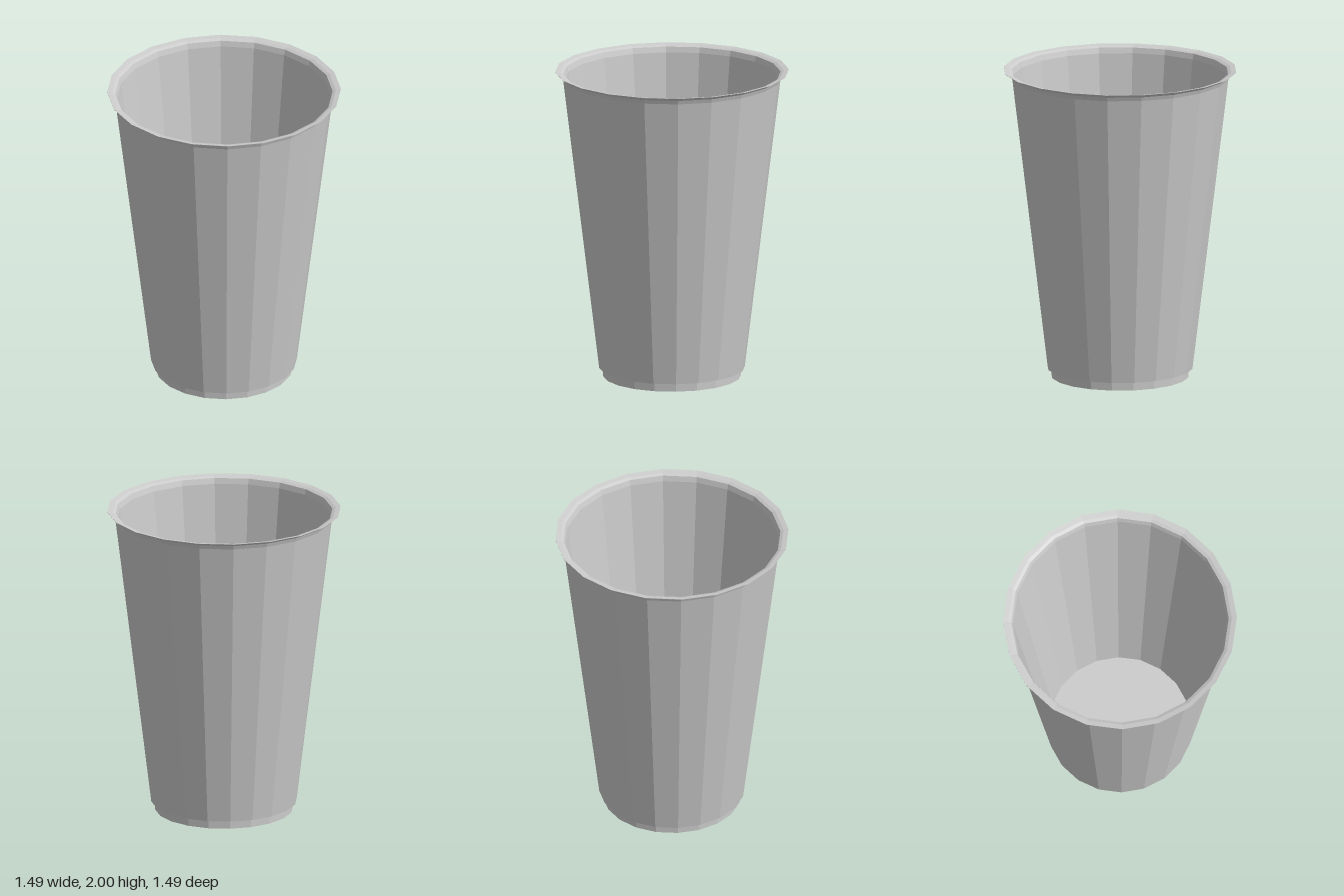
import * as THREE from 'three';

const SIDES = 20;

// Revolve a list of [radius, height] points into a faceted surface
function revolve(name, points, material) {
  const profile = points.map(([r, y]) => new THREE.Vector2(r, y));
  const mesh = new THREE.Mesh(new THREE.LatheGeometry(profile, SIDES), material);
  mesh.name = name;
  return mesh;
}

export function createModel() {
  const group = new THREE.Group();
  group.name = 'cup';
  const material = new THREE.MeshStandardMaterial({
    color: 0xcccccc, flatShading: true, side: THREE.DoubleSide,
  });

  // Recessed foot with its flat underside and the small ledge above it
  group.add(revolve('foot', [[0, 0], [0.44, 0], [0.44, 0.055], [0.465, 0.055]], material));

  // Tapered outer wall
  group.add(revolve('outerWall', [[0.465, 0.055], [0.695, 1.95]], material));

  // Thin flared lip, underside first, then back over the top
  group.add(revolve('lip', [
    [0.695, 1.95], [0.703, 1.975], [0.716, 1.988], [0.745, 1.998],
    [0.745, 2], [0.713, 1.994], [0.693, 1.985], [0.682, 1.95],
  ], material));

  // Tapered inner wall
  group.add(revolve('innerWall', [[0.682, 1.95], [0.45, 0.06]], material));

  // Inside floor with a concentric ring
  group.add(revolve('floor', [[0.45, 0.06], [0.225, 0.06], [0, 0.06]], material));

  return group;
}
